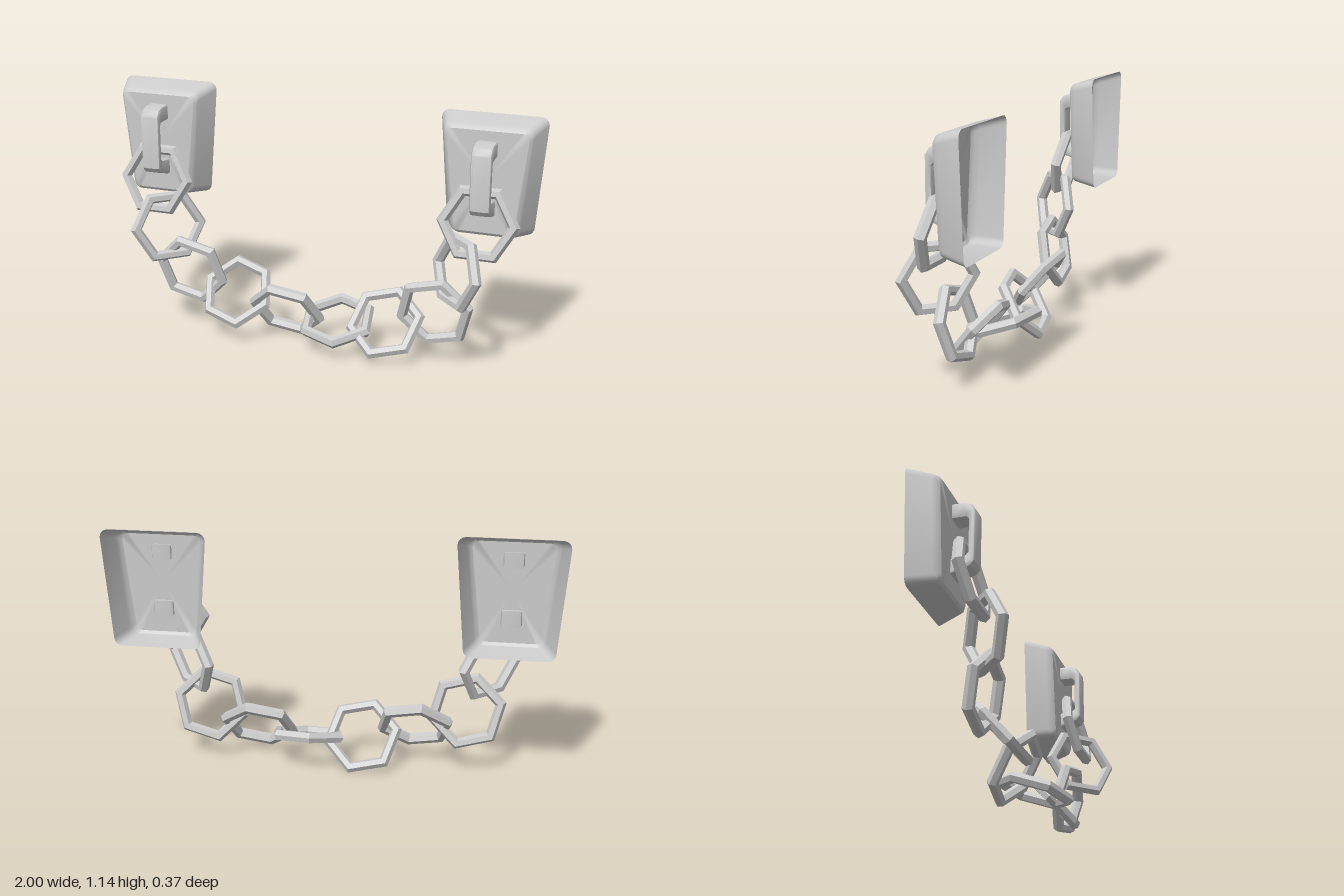
import * as THREE from 'three';
import { toCreasedNormals } from 'three/addons/utils/BufferGeometryUtils.js';

const deg = THREE.MathUtils.degToRad;
const smoothGrey = new THREE.MeshStandardMaterial({ color: 0xcccccc, side: THREE.DoubleSide });
const facetGrey = new THREE.MeshStandardMaterial({ color: 0xcccccc, flatShading: true });

// Tapered outline with rounded corners, counter-clockwise seen from the front
function outline(halfTop, halfBottom, top, bottom, radius, z) {
  const points = [];
  const corners = [[halfTop, top, 1, 1], [-halfTop, top, -1, 1], [-halfBottom, bottom, -1, -1], [halfBottom, bottom, 1, -1]];
  corners.forEach(([x, y, sx, sy], k) => {
    for (let i = 0; i <= 4; i++) {
      const a = (k + i / 4) * Math.PI / 2;
      points.push([x - sx * radius + radius * Math.cos(a), y - sy * radius + radius * Math.sin(a), z]);
    }
  });
  return points;
}

// Wall plate: hollow shell, open at the back
function plateGeometry() {
  const rings = [
    outline(0.232, 0.195, 0.262, -0.263, 0.035, -0.18),
    outline(0.198, 0.155, 0.237, -0.249, 0.035, -0.08),
    outline(0.189, 0.146, 0.228, -0.245, 0.035, -0.06),
    outline(0.176, 0.133, 0.215, -0.232, 0.03, -0.05),
  ];
  const n = rings[0].length;
  const positions = [];
  for (let r = 0; r < rings.length; r++) {
    for (let j = 0; j < n; j++) {
      const k = (j + 1) % n;
      const a = rings[r][j], b = rings[r][k];
      if (r < rings.length - 1) {
        const c = rings[r + 1][k], d = rings[r + 1][j];
        positions.push(...a, ...b, ...c, ...a, ...c, ...d);
      } else {
        positions.push(...a, ...b, 0, 0, -0.05);
      }
    }
  }
  const geometry = new THREE.BufferGeometry();
  geometry.setAttribute('position', new THREE.Float32BufferAttribute(positions, 3));
  return toCreasedNormals(geometry, 0.6);
}

// Bracket: C-shaped side profile (z, y) extruded across x
function bracketGeometry() {
  const profile = [
    [-0.06, 0.172], [0, 0.17], [0.033, 0.158], [0.05, 0.13], [0.05, -0.11], [0.033, -0.132], [-0.06, -0.16],
    [-0.06, -0.085], [0.01, -0.078], [0.02, -0.068], [0.02, 0.088], [0.01, 0.098], [-0.06, 0.1],
  ];
  const shape = new THREE.Shape(profile.map(([z, y]) => new THREE.Vector2(z, y)));
  const geometry = new THREE.ExtrudeGeometry(shape, {
    depth: 0.062, bevelEnabled: true, bevelSize: 0.011, bevelOffset: -0.011, bevelThickness: 0.014, bevelSegments: 2,
  });
  geometry.translate(0, 0, -0.031);
  geometry.rotateY(-Math.PI / 2);
  return toCreasedNormals(geometry, 0.6);
}

export function createModel() {
  const model = new THREE.Group();

  // The two mounts, the left one hanging a little lower
  const plate = plateGeometry();
  const bracket = bracketGeometry();
  for (const [side, x, y] of [['right', -0.768, 0.878], ['left', 0.763, 0.848]]) {
    const mount = new THREE.Group();
    mount.name = side + 'Mount';
    const plateMesh = new THREE.Mesh(plate, smoothGrey);
    plateMesh.name = 'wallPlate';
    const bracketMesh = new THREE.Mesh(bracket, smoothGrey);
    bracketMesh.name = 'bracket';
    mount.add(plateMesh, bracketMesh);
    mount.position.set(x, y, 0);
    model.add(mount);
  }

  // Hexagonal chain links: x, y, z, pitch, yaw, roll in degrees
  const links = [
    [-0.755, 0.715, 0.02, -11, 0, 0],
    [-0.685, 0.505, 0.055, -8, 45, 0],
    [-0.59, 0.29, 0.02, 13, 0, -15],
    [-0.36, 0.21, 0.015, -40, 0, -17],
    [-0.125, 0.148, -0.005, 34, 0, -13],
    [0.125, 0.135, 0, -72, 0, -19],
    [0.355, 0.165, 0.015, -40, 0, 17],
    [0.58, 0.25, 0.02, 13, 0, 15],
    [0.68, 0.465, 0.055, -8, -45, 0],
    [0.755, 0.677, 0.02, -11, 0, 0],
  ];
  const linkGeometry = new THREE.TorusGeometry(0.155, 0.026, 6, 6);
  const chain = new THREE.Group();
  chain.name = 'chain';
  links.forEach(([x, y, z, pitch, yaw, roll], i) => {
    const link = new THREE.Mesh(linkGeometry, facetGrey);
    link.name = 'chainLink' + (i + 1);
    link.position.set(x, y, z);
    link.rotation.set(deg(pitch), deg(yaw), deg(roll), 'YXZ');
    chain.add(link);
  });
  model.add(chain);
  return model;
}
